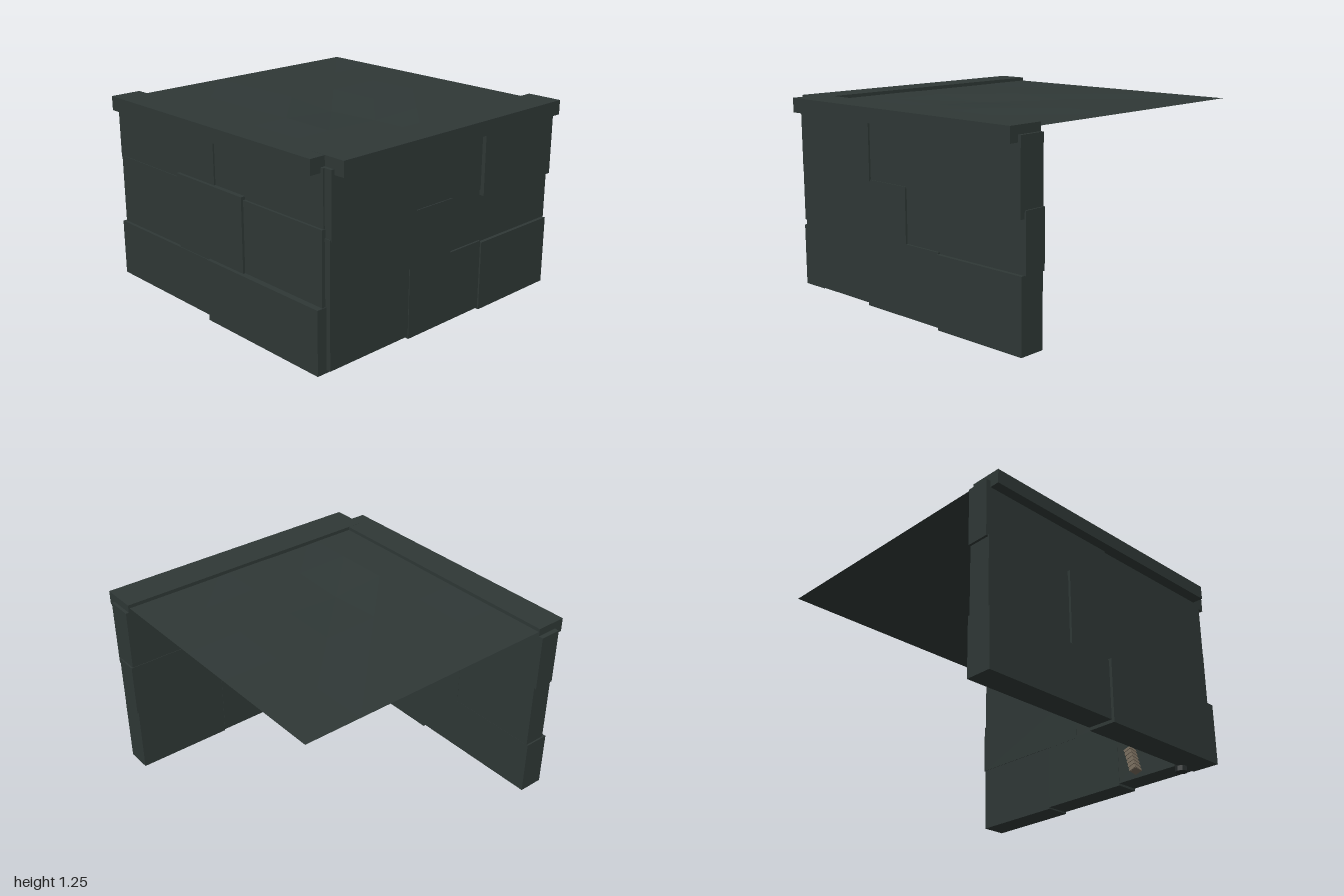
import * as THREE from 'three';

const stone = new THREE.MeshStandardMaterial({ color: 0x2f3836, flatShading: true });
stone.name = 'darkStone';
const roofStone = new THREE.MeshStandardMaterial({ color: 0x2f3836, flatShading: true, side: THREE.DoubleSide });
roofStone.name = 'darkRoof';
const metal = new THREE.MeshStandardMaterial({ color: 0x252b2a, flatShading: true });
metal.name = 'darkMetal';
const wood = new THREE.MeshStandardMaterial({ color: 0x74695a, flatShading: true });
wood.name = 'brownWood';

// Box given by its min and max corners
function block(name, x0, x1, y0, y1, z0, z1, material = stone) {
  const mesh = new THREE.Mesh(new THREE.BoxGeometry(x1 - x0, y1 - y0, z1 - z0), material);
  mesh.position.set((x0 + x1) / 2, (y0 + y1) / 2, (z0 + z1) / 2);
  mesh.name = name;
  return mesh;
}

export function createModel() {
  const model = new THREE.Group();
  model.name = 'wallCorner';

  // Front wall: x0, x1, y0, y1, inner z, outer z
  const frontWall = new THREE.Group();
  frontWall.name = 'frontWall';
  [
    [-0.9, -0.29, 0.06, 0.49, 0.77, 0.92],
    [-0.29, 0.33, 0.045, 0.485, 0.768, 0.925],
    [0.33, 0.97, 0.035, 0.475, 0.77, 0.935],
    [-0.905, 0.06, 0.48, 0.82, 0.769, 0.925],
    [0.06, 0.98, 0.475, 0.82, 0.767, 0.912],
    [-0.9, -0.25, 0.81, 1.2, 0.77, 0.93],
    [-0.25, 0.32, 0.81, 1.2, 0.768, 0.918],
    [0.32, 0.97, 0.775, 1.21, 0.77, 0.943],
  ].forEach((b) => frontWall.add(block('frontBlock', ...b)));

  // Side wall: outer x, inner x, y0, y1, z0, z1
  const sideWall = new THREE.Group();
  sideWall.name = 'sideWall';
  [
    [-0.945, -0.78, 0.06, 0.42, -0.995, -0.07],
    [-0.963, -0.782, 0.04, 0.43, -0.07, 0.89],
    [-0.925, -0.781, 0.41, 0.86, -0.985, -0.37],
    [-0.94, -0.78, 0.42, 0.89, -0.37, 0.24],
    [-0.925, -0.782, 0.43, 0.87, 0.24, 0.885],
    [-0.92, -0.78, 0.85, 1.21, -1.0, -0.03],
    [-0.91, -0.782, 0.87, 1.2, -0.03, 0.88],
  ].forEach((b) => sideWall.add(block('sideBlock', ...b)));

  // Coping strips on top of both walls
  const coping = new THREE.Group();
  coping.name = 'coping';
  coping.add(
    block('frontCoping', -0.88, 0.95, 1.17, 1.26, 0.77, 1.0),
    block('sideCoping', -0.98, -0.78, 1.17, 1.259, -0.97, 0.86),
  );

  // Thin, slightly uneven roof sheet
  const sheet = new THREE.PlaneGeometry(1.8, 1.815, 5, 5).rotateX(-Math.PI / 2);
  const pos = sheet.attributes.position;
  for (let i = 0; i < pos.count; i++) {
    const col = i % 6, row = Math.floor(i / 6);
    const inner = col > 0 && col < 5 && row > 0 && row < 5;
    if (inner) pos.setY(i, 0.006 * Math.sin(col * 2.3 + row * 1.7));
    if (col === 2 && row === 3) pos.setY(i, -0.02);
  }
  const roof = new THREE.Mesh(sheet, roofStone);
  roof.name = 'roofSheet';
  roof.position.set(0.04, 1.237, -0.0575);

  // Corner pole with three rings
  const pole = new THREE.Group();
  pole.name = 'cornerPole';
  const shaft = new THREE.Mesh(new THREE.CylinderGeometry(0.04, 0.04, 0.77, 8), metal);
  shaft.name = 'poleShaft';
  shaft.position.y = 0.393;
  pole.add(shaft);
  for (const y of [0.15, 0.37, 0.585]) {
    const ring = new THREE.Mesh(new THREE.TorusGeometry(0.042, 0.014, 6, 10).rotateX(Math.PI / 2), metal);
    ring.name = 'poleRing';
    ring.position.y = y;
    pole.add(ring);
  }
  pole.position.set(-0.78, 0, 0.77);

  // Small ribbed stick leaning near the corner
  const stick = new THREE.Group();
  stick.name = 'ribbedStick';
  stick.add(block('stickCore', -0.022, 0.022, -0.088, 0.088, -0.027, 0.027, wood));
  for (let i = 0; i < 6; i++) {
    const y = -0.078 + i * 0.031;
    stick.add(block('stickRib', -0.025, 0.025, y - 0.009, y + 0.009, -0.031, 0.031, wood));
  }
  stick.position.set(-0.55, 0.1, 0.59);
  stick.rotation.set(0.18, 0, -0.35);

  model.add(frontWall, sideWall, coping, roof, pole, stick);
  return model;
}
